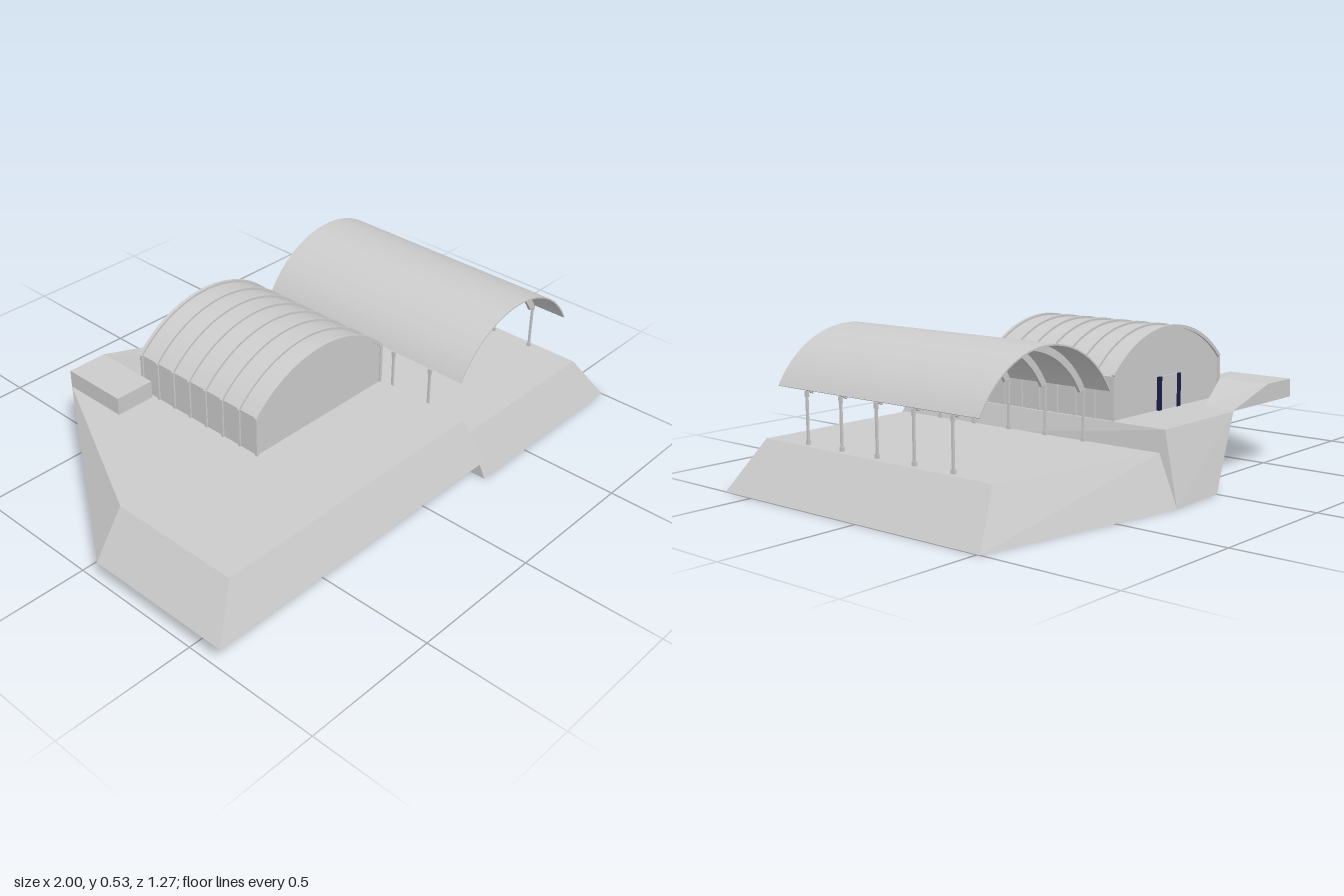
import * as THREE from 'three';

const grey = new THREE.MeshStandardMaterial({ color: 0xcccccc, side: THREE.DoubleSide });
const flat = new THREE.MeshStandardMaterial({ color: 0xcccccc, side: THREE.DoubleSide, flatShading: true });
const navy = new THREE.MeshStandardMaterial({ color: 0x1c1c48 });

function add(parent, name, geometry, material = grey) {
  const mesh = new THREE.Mesh(geometry, material);
  mesh.name = name;
  parent.add(mesh);
  return mesh;
}

function box(parent, name, w, h, d, x, y, z, material = grey) {
  add(parent, name, new THREE.BoxGeometry(w, h, d), material).position.set(x, y, z);
}

// Solid from named corners; each face is a string of corner letters, fanned into triangles
function faceted(corners, faces) {
  const pos = [];
  for (const f of faces) {
    for (let i = 1; i < f.length - 1; i++) {
      pos.push(...corners[f[0]], ...corners[f[i]], ...corners[f[i + 1]]);
    }
  }
  const g = new THREE.BufferGeometry();
  g.setAttribute('position', new THREE.Float32BufferAttribute(pos, 3));
  g.computeVertexNormals();
  return g;
}

// Circle through two eaves and a crown
function arcOf(half, eave, crown) {
  const rise = crown - eave;
  const r = (half * half + rise * rise) / (2 * rise);
  return { r, cy: crown - r, a: Math.asin(half / r) };
}

// Curved band between two radii, extruded along z from z0
function archBand(arc, inner, outer, z0, depth) {
  const s = new THREE.Shape();
  const a0 = Math.PI / 2 - arc.a, a1 = Math.PI / 2 + arc.a;
  s.absarc(0, arc.cy, outer, a0, a1, false);
  s.absarc(0, arc.cy, inner, a1, a0, true);
  return new THREE.ExtrudeGeometry(s, { depth, bevelEnabled: false, curveSegments: 24 }).translate(0, 0, z0);
}

function buildGround(root) {
  // Upper terrace, with an underside that falls towards the back
  add(root, 'upperTerrace', faceted({
    a: [-0.89, 0.24, 0.565], b: [0.21, 0.24, 0.565], c: [0.21, 0.24, -0.57],
    d: [-0.57, 0.24, -0.56], e: [-0.57, 0.24, -0.44], f: [-0.89, 0.24, 0.08],
    A: [-1, 0.08, 0.635], B: [-1, 0.08, 0.08], D: [-0.2, 0.24, -0.56],
    E: [0, 0, -0.63], F: [0.24, 0, -0.64], G: [0.255, 0.08, 0.635],
    P: [-0.5, 0.08, 0.635], Q: [0, 0.08, 0.635],
  }, ['abcdef', 'AGba', 'BAaf', 'dBfe', 'FEDc', 'GFcb',
    'ABP', 'BdP', 'PdD', 'PDQ', 'DEQ', 'QEF', 'QFG']), flat);

  // Lower terrace
  add(root, 'lowerTerrace', faceted({
    a: [0.25, 0.17, 0.565], b: [0.88, 0.17, 0.565], c: [0.88, 0.17, -0.45], d: [0.24, 0.17, -0.57],
    A: [0.265, 0, 0.635], B: [1, 0, 0.635], C: [1, 0, -0.51], D: [0.24, 0, -0.64],
  }, ['abcd', 'ABba', 'BCcb', 'CDdc', 'DAad', 'DCBA']), flat);

  // Loading platform with a ramp running down behind the hall
  box(root, 'platform', 0.15, 0.065, 0.255, -0.495, 0.2725, -0.4325);
  add(root, 'ramp', faceted({
    a: [-0.42, 0.305, -0.56], b: [-0.42, 0.305, -0.36], c: [-0.22, 0.241, -0.43], d: [-0.2, 0.241, -0.56],
    e: [-0.42, 0.24, -0.56], f: [-0.42, 0.24, -0.36],
  }, ['abcd', 'fcb', 'dea', 'fedc']), flat);
}

function buildHall(root) {
  const hall = new THREE.Group();
  hall.name = 'hall';
  hall.position.x = -0.105;
  root.add(hall);
  const arc = arcOf(0.305, 0.385, 0.518);

  // Walls and vaulted roof in one section
  const s = new THREE.Shape();
  s.moveTo(0.305, 0.235);
  s.lineTo(0.305, 0.385);
  s.absarc(0, arc.cy, arc.r, Math.PI / 2 - arc.a, Math.PI / 2 + arc.a, false);
  s.lineTo(-0.305, 0.235);
  const body = new THREE.ExtrudeGeometry(s, { depth: 0.555, bevelEnabled: false, curveSegments: 24 });
  add(hall, 'hallBody', body.translate(0, 0, -0.355));

  // Roof ribs with pilasters below
  for (let i = 0; i < 8; i++) {
    const z = 0.2 - i * 0.0795;
    add(hall, 'roofRib', archBand(arc, arc.r - 0.004, arc.r + 0.008, z - 0.006, 0.012));
    for (const side of [-1, 1]) box(hall, 'pilaster', 0.01, 0.15, 0.01, side * 0.306, 0.311, z);
  }

  // Back doorway jambs and door
  for (const x of [0.055, -0.055]) box(hall, 'doorJamb', 0.018, 0.115, 0.012, x, 0.2975, -0.358, navy);
  box(hall, 'door', 0.092, 0.115, 0.006, 0, 0.2975, -0.357);
}

function buildCanopy(root) {
  const canopy = new THREE.Group();
  canopy.name = 'canopy';
  canopy.position.x = 0.555;
  root.add(canopy);
  const arc = arcOf(0.307, 0.35, 0.53);

  // Thin curved roof sheet
  add(canopy, 'canopyRoof', archBand(arc, arc.r - 0.005, arc.r, -0.382, 0.898));

  // Arched trusses, each on a pair of slim posts
  for (let i = 0; i < 5; i++) {
    const z = 0.38 - i * 0.163;
    add(canopy, 'archTruss', archBand(arc, arc.r - 0.03, arc.r - 0.004, z - 0.006, 0.012));
    for (const side of [-1, 1]) {
      box(canopy, 'post', 0.007, 0.175, 0.008, side * 0.302, 0.2575, z);
      box(canopy, 'postFoot', 0.01, 0.014, 0.014, side * 0.302, 0.177, z);
      box(canopy, 'postHead', 0.008, 0.02, 0.014, side * 0.302, 0.336, z);
    }
  }
}

export function createModel() {
  const root = new THREE.Group();
  root.name = 'hallAndCanopy';
  buildGround(root);
  buildHall(root);
  buildCanopy(root);
  return root;
}
